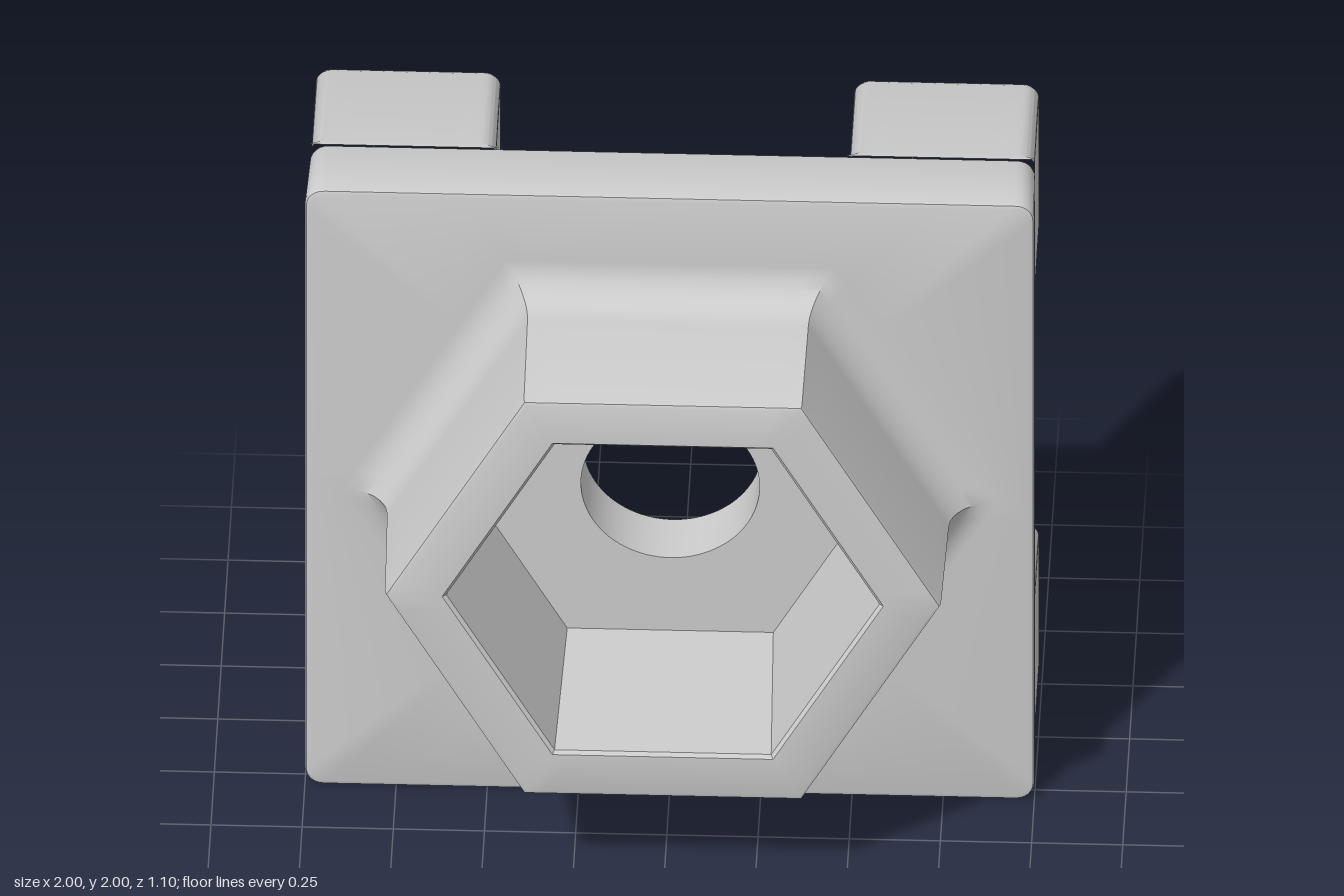
import * as THREE from 'three';
import { toCreasedNormals } from 'three/addons/utils/BufferGeometryUtils.js';

const DEG = Math.PI / 180;

// Even angles, plus extra ones around the four square corners
const angles = [];
for (let i = 0; i < 96; i++) angles.push(i * 3.75);
for (let k = 0; k < 4; k++) {
  for (const d of [0.5, 1, 1.5, 2.6, 5]) angles.push(45 + 90 * k - d, 45 + 90 * k + d);
}
angles.sort((a, b) => a - b);

// Cross-sections as radius by angle (degrees)
const circle = (r) => () => r;
const hexagon = (r) => (t) => (r * Math.cos(30 * DEG)) / Math.cos(((t % 60) - 30) * DEG);
const roundedSquare = (half, corner) => (t) => {
  const q = t % 90;
  const a = Math.min(q, 90 - q) * DEG;
  const k = half - corner;
  if (half * Math.tan(a) <= k) return half / Math.cos(a);
  const d = k * (Math.cos(a) + Math.sin(a));
  return d + Math.sqrt(Math.max(0, d * d - 2 * k * k + corner * corner));
};

// Skin a sequence of [section, z] rings; limit clips x and y on the plus side
function loft(rings, limit = Infinity) {
  const pos = [];
  const index = [];
  const n = angles.length;
  rings.forEach(([section, z], i) => {
    angles.forEach((t, j) => {
      const r = section(t);
      pos.push(Math.min(r * Math.cos(t * DEG), limit), Math.min(r * Math.sin(t * DEG), limit), z);
      if (i === rings.length - 1) return;
      const a = i * n + j;
      const b = i * n + ((j + 1) % n);
      index.push(a, b, b + n, a, b + n, a + n);
    });
  });
  const g = new THREE.BufferGeometry();
  g.setAttribute('position', new THREE.Float32BufferAttribute(pos, 3));
  g.setIndex(index);
  return toCreasedNormals(g, 35 * DEG);
}

export function createModel() {
  const model = new THREE.Group();
  const material = new THREE.MeshStandardMaterial({ color: 0xcccccc });

  // Plate with bore, filleted hexagonal boss and hexagonal socket
  const fillet = [];
  for (let i = 0; i <= 8; i++) {
    const a = (i / 8) * 90 * DEG;
    fillet.push([hexagon(0.9 - 0.13 * Math.sin(a)), 0.05 + 0.12 * (1 - Math.cos(a))]);
  }
  const body = new THREE.Mesh(loft([
    [circle(0.245), 0],
    [circle(0.245), -0.18],
    [roundedSquare(0.982, 0.04), -0.18],
    [roundedSquare(0.99, 0.045), -0.176],
    [roundedSquare(0.994, 0.05), -0.165],
    [roundedSquare(1, 0.05), 0.035],
    [roundedSquare(0.996, 0.047), 0.046],
    [roundedSquare(0.985, 0.04), 0.05],
    ...fillet,
    [hexagon(0.762), 0.535],
    [hexagon(0.758), 0.546],
    [hexagon(0.747), 0.55],
    [hexagon(0.605), 0.55],
    [hexagon(0.594), 0.54],
    [hexagon(0.565), 0],
    [circle(0.245), 0],
  ]), material);
  body.name = 'plateWithHexSocket';
  body.position.y = 1;
  model.add(body);

  // Square legs with a square hole, flared into the plate on their inner sides
  const half = 0.253;
  const flare = [];
  for (let i = 0; i <= 5; i++) {
    const a = (i / 5) * 90 * DEG;
    flare.push([roundedSquare(half + 0.03 * (1 - Math.cos(a)), 0.04), -0.21 + 0.031 * Math.sin(a)]);
  }
  const legGeometry = loft([
    [roundedSquare(0.093, 0.03), -0.175],
    [roundedSquare(0.093, 0.03), -0.55],
    [roundedSquare(half - 0.02, 0.03), -0.55],
    [roundedSquare(half - 0.006, 0.037), -0.544],
    [roundedSquare(half, 0.04), -0.53],
    ...flare,
  ].map(([section, z]) => [(t) => section((t + 360) % 360), z]), half + 0.002);
  legGeometry.translate(0.738, 0.738, 0);

  const names = ['legTopLeft', 'legTopRight', 'legBottomRight', 'legBottomLeft'];
  names.forEach((name, k) => {
    const leg = new THREE.Mesh(legGeometry, material);
    leg.name = name;
    leg.position.y = 1;
    leg.rotation.z = (k * Math.PI) / 2;
    model.add(leg);
  });
  return model;
}
